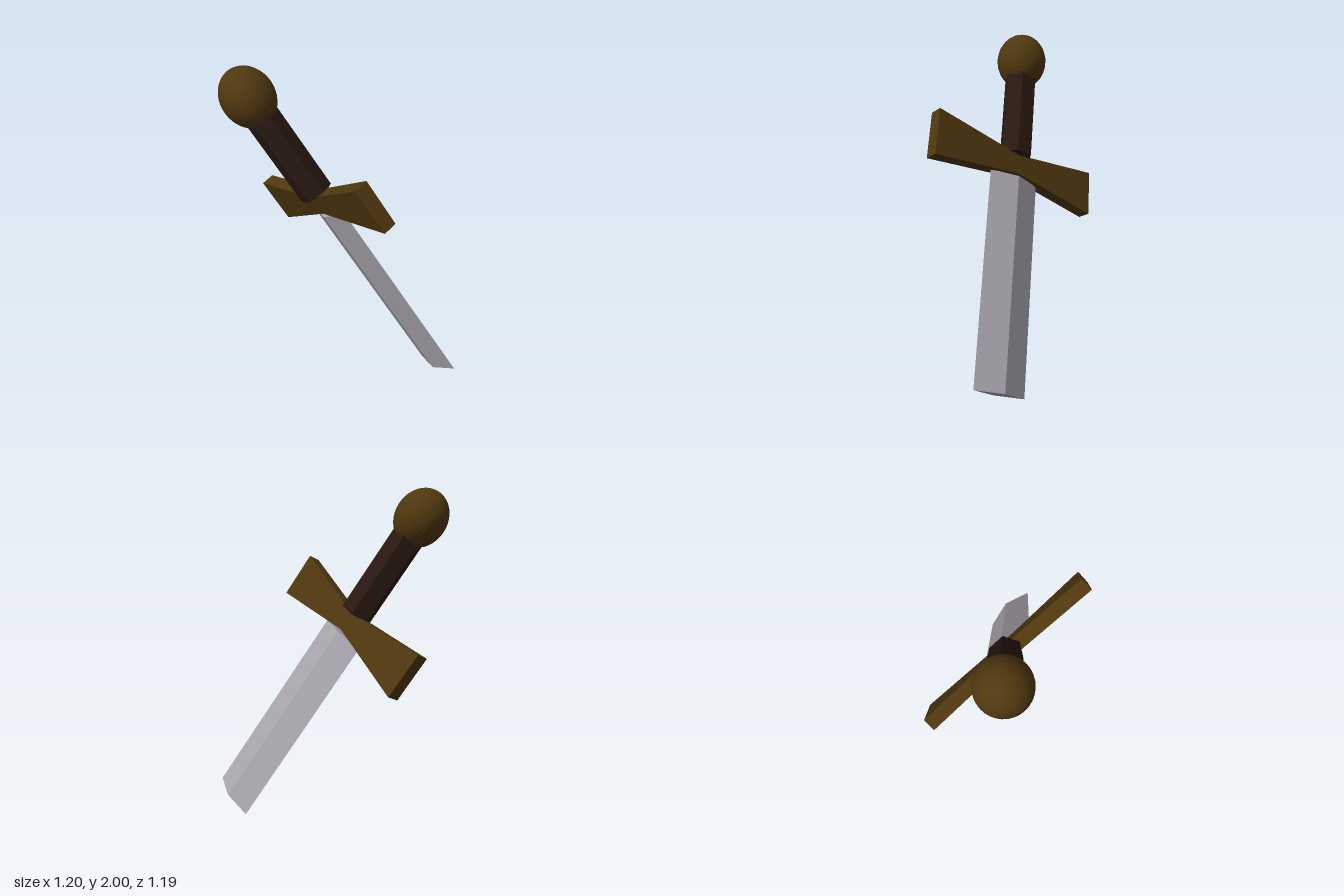
import * as THREE from 'three';

const material = (color) => new THREE.MeshStandardMaterial({ color, flatShading: true });

export function createModel() {
  const model = new THREE.Group();
  const sword = new THREE.Group();
  sword.name = 'sword';
  model.add(sword);

  const brass = material(0x50380f);
  const leather = material(0x2a1812);
  const steel = material(0xaaa6ae);

  const add = (name, geometry, mat, y) => {
    const mesh = new THREE.Mesh(geometry, mat);
    mesh.name = name;
    mesh.position.y = y;
    sword.add(mesh);
  };

  // Prism between two heights: the local y axis runs from blade tip to pommel
  const prism = (sides, bottom, top, rx, rz) => ({
    geometry: new THREE.CylinderGeometry(1, 1, top - bottom, sides).scale(rx, 1, rz),
    y: (top + bottom) / 2,
  });

  // Pommel: ball slightly stretched along the sword
  add('pommel', new THREE.SphereGeometry(1, 32, 20).scale(0.154, 0.178, 0.154), brass, 0.743);

  // Six-sided grip
  const grip = prism(6, 0.065, 0.65, 0.1, 0.103);
  add('grip', grip.geometry, leather, grip.y);

  // Diamond-section blade with a blunt end
  const blade = prism(4, -1.36, -0.08, 0.049, 0.177);
  add('blade', blade.geometry, steel, blade.y);

  // Bow-tie crossguard, narrow in the middle
  const halfLength = 0.595, endHeight = 0.144, waist = 0.06, depth = 0.082;
  const outline = new THREE.Shape([
    [-halfLength, -endHeight], [0, -waist], [halfLength, -endHeight],
    [halfLength, endHeight], [0, waist], [-halfLength, endHeight],
  ].map(([x, y]) => new THREE.Vector2(x, y)));
  const guard = new THREE.ExtrudeGeometry(outline, { depth, bevelEnabled: false });
  guard.translate(0, 0, -depth / 2).rotateY(-Math.PI / 2);
  add('crossguard', guard, brass, 0);

  // Tilt the sword, point down, towards the front left
  const up = new THREE.Vector3(-0.474, 0.836, -0.279).normalize();
  const along = new THREE.Vector3(0.163, 0.38, 0.91);
  const side = new THREE.Vector3().crossVectors(up, along).normalize();
  along.crossVectors(side, up);
  sword.quaternion.setFromRotationMatrix(new THREE.Matrix4().makeBasis(side, up, along));
  sword.position.set(-0.088, 1.208, 0);

  return model;
}
